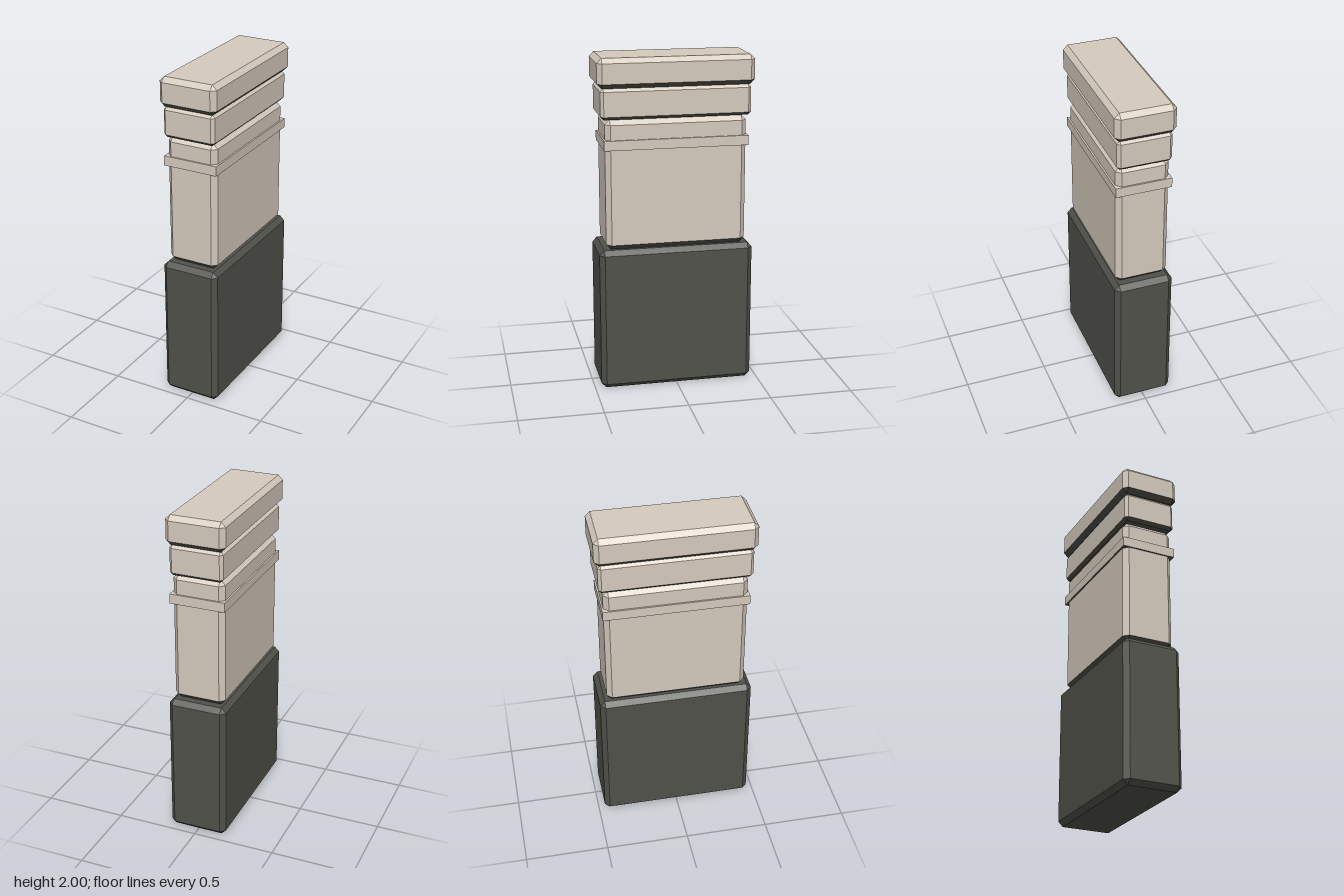
import * as THREE from 'three';

// Eight-point ring at height y; the corner points meet when cut equals 0
function ring(hx, hz, cut, y) {
  const x = hx - cut, z = hz - cut;
  return [
    [hx, y, z], [x, y, hz], [-x, y, hz], [-hx, y, z],
    [-hx, y, -z], [-x, y, -hz], [x, y, -hz], [hx, y, -z],
  ];
}

// Chamfered block: group 0 is the underside with its bevel, group 1 the rest
function chamferedBlock(hx, hz, y0, y1, c) {
  const r0 = ring(hx - c, hz - c, 0, y0);
  const r1 = ring(hx, hz, c, y0 + c);
  const r2 = ring(hx, hz, c, y1 - c);
  const r3 = ring(hx - c, hz - c, 0, y1);
  const pos = [];
  const tri = (...pts) => pts.forEach((p) => pos.push(...p));
  const walls = (a, b) => {
    for (let i = 0; i < 8; i++) {
      const j = (i + 1) % 8;
      const corner = i % 2 === 0;
      if (!(corner && a === r0)) tri(a[i], b[j], a[j]);
      if (!(corner && b === r3)) tri(a[i], b[i], b[j]);
    }
  };
  // Underside and lower bevel
  tri(r0[0], r0[2], r0[4]);
  tri(r0[0], r0[4], r0[6]);
  walls(r0, r1);
  const split = pos.length / 3;
  // Sides, upper bevel and top
  walls(r1, r2);
  walls(r2, r3);
  tri(r3[0], r3[4], r3[2]);
  tri(r3[0], r3[6], r3[4]);

  const g = new THREE.BufferGeometry();
  g.setAttribute('position', new THREE.Float32BufferAttribute(pos, 3));
  g.computeVertexNormals();
  g.addGroup(0, split, 0);
  g.addGroup(split, pos.length / 3 - split, 1);
  return g;
}

export function createModel() {
  const model = new THREE.Group();
  model.name = 'pillar';
  const stone = new THREE.MeshStandardMaterial({ color: 0xd5cabd });
  stone.name = 'pale stone';
  const dark = new THREE.MeshStandardMaterial({ color: 0x51514b });
  dark.name = 'dark stone';

  const add = (name, geometry, material) => {
    const mesh = new THREE.Mesh(geometry, material);
    mesh.name = name;
    model.add(mesh);
    return mesh;
  };

  // Stacked blocks: half width, half depth, bottom, top, chamfer
  add('base', chamferedBlock(0.178, 0.462, 0, 0.868, 0.029), [dark, dark]);
  add('shaft', chamferedBlock(0.157, 0.418, 0.868, 1.645, 0.03), [dark, stone]);
  add('lowerCap', chamferedBlock(0.161, 0.443, 1.645, 1.826, 0.018), [dark, stone]);
  add('upperCap', chamferedBlock(0.178, 0.462, 1.826, 2, 0.028), [dark, stone]);

  // Square moulding around the shaft, dark underneath
  const band = add('shaftBand', new THREE.BoxGeometry(0.334, 0.058, 0.854),
    [stone, stone, stone, dark, stone, stone]);
  band.position.y = 1.498;

  return model;
}
